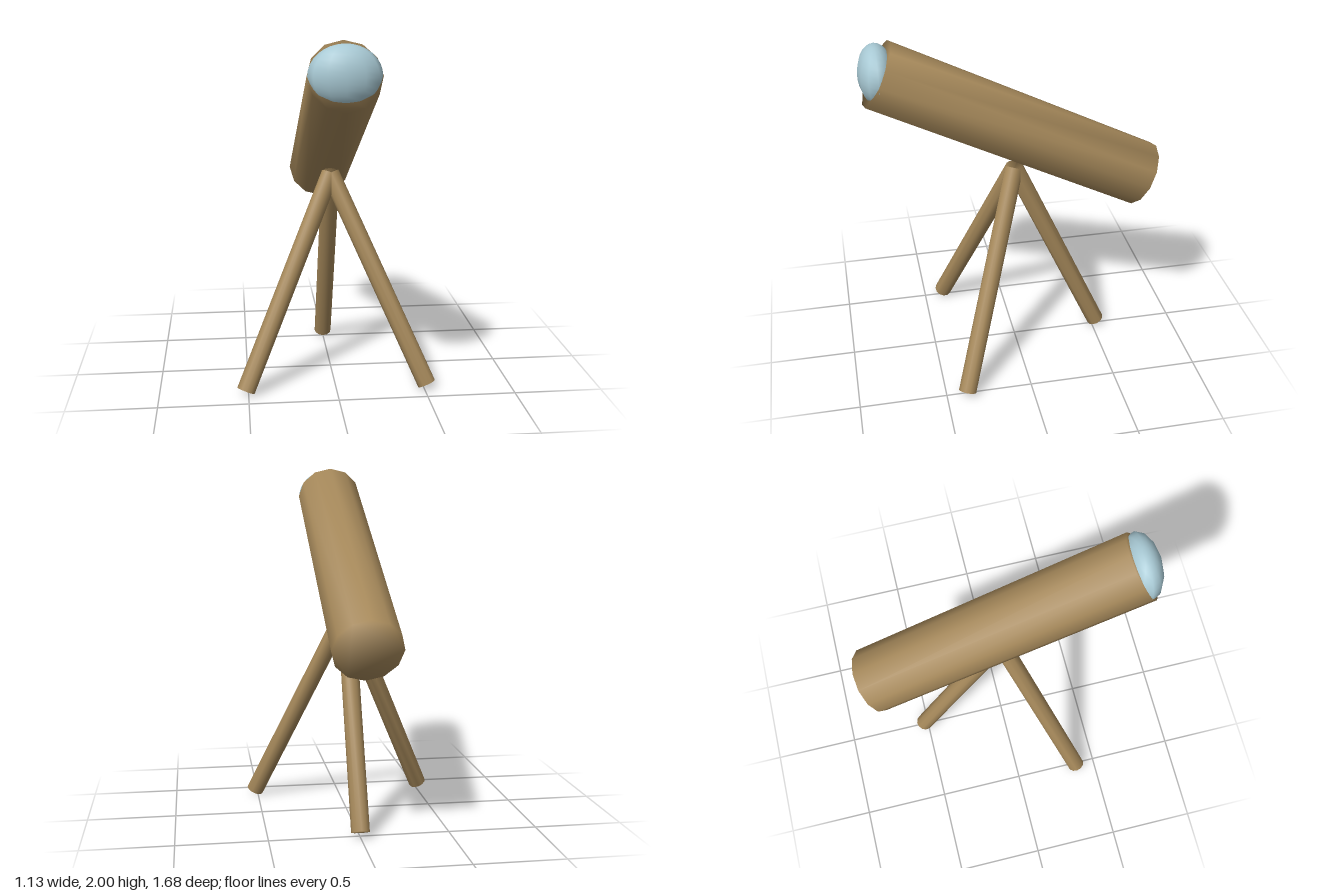
import * as THREE from 'three';
import { mergeVertices } from 'three/addons/utils/BufferGeometryUtils.js';

const wood = new THREE.MeshStandardMaterial({ color: 0xa5885a });
const glass = new THREE.MeshStandardMaterial({ color: 0xa8c9d4 });

// Capped 12-sided rod between two points, shaded smoothly across its end rims
function rod(name, from, to, radius) {
  const start = new THREE.Vector3(...from);
  const axis = new THREE.Vector3(...to).sub(start);
  const points = [];
  for (let i = 0; i < 12; i++) {
    const a = (i / 12) * Math.PI * 2;
    points.push(new THREE.Vector2(Math.cos(a) * radius, Math.sin(a) * radius));
  }
  let geometry = new THREE.ExtrudeGeometry(new THREE.Shape(points), {
    depth: axis.length(), bevelEnabled: false, steps: 1,
  });
  geometry.deleteAttribute('normal');
  geometry.deleteAttribute('uv');
  geometry = mergeVertices(geometry, 1e-4);
  geometry.computeVertexNormals();

  const mesh = new THREE.Mesh(geometry, wood);
  mesh.name = name;
  mesh.position.copy(start);
  mesh.quaternion.setFromUnitVectors(new THREE.Vector3(0, 0, 1), axis.normalize());
  return mesh;
}

export function createModel() {
  const model = new THREE.Group();
  model.name = 'telescope';

  // Tilted main tube, raised at the front
  const frontEnd = [0, 1.83, 0.742];
  model.add(rod('tube', [0, 1.07, -0.756], frontEnd, 0.191));

  // Bulging lens set in the front end
  const lens = new THREE.Mesh(new THREE.SphereGeometry(1, 12, 16), glass);
  lens.name = 'lens';
  lens.scale.set(0.188, 0.16, 0.1);
  lens.position.set(...frontEnd);
  model.add(lens);

  // Tripod: two splayed front legs and one back leg meeting under the tube
  const apex = [0, 1.185, 0];
  model.add(rod('leftFrontLeg', [0.515, 0.026, 0.38], apex, 0.052));
  model.add(rod('rightFrontLeg', [-0.515, 0.026, 0.38], apex, 0.052));
  model.add(rod('backLeg', [0, 0.031, -0.523], apex, 0.052));

  return model;
}
